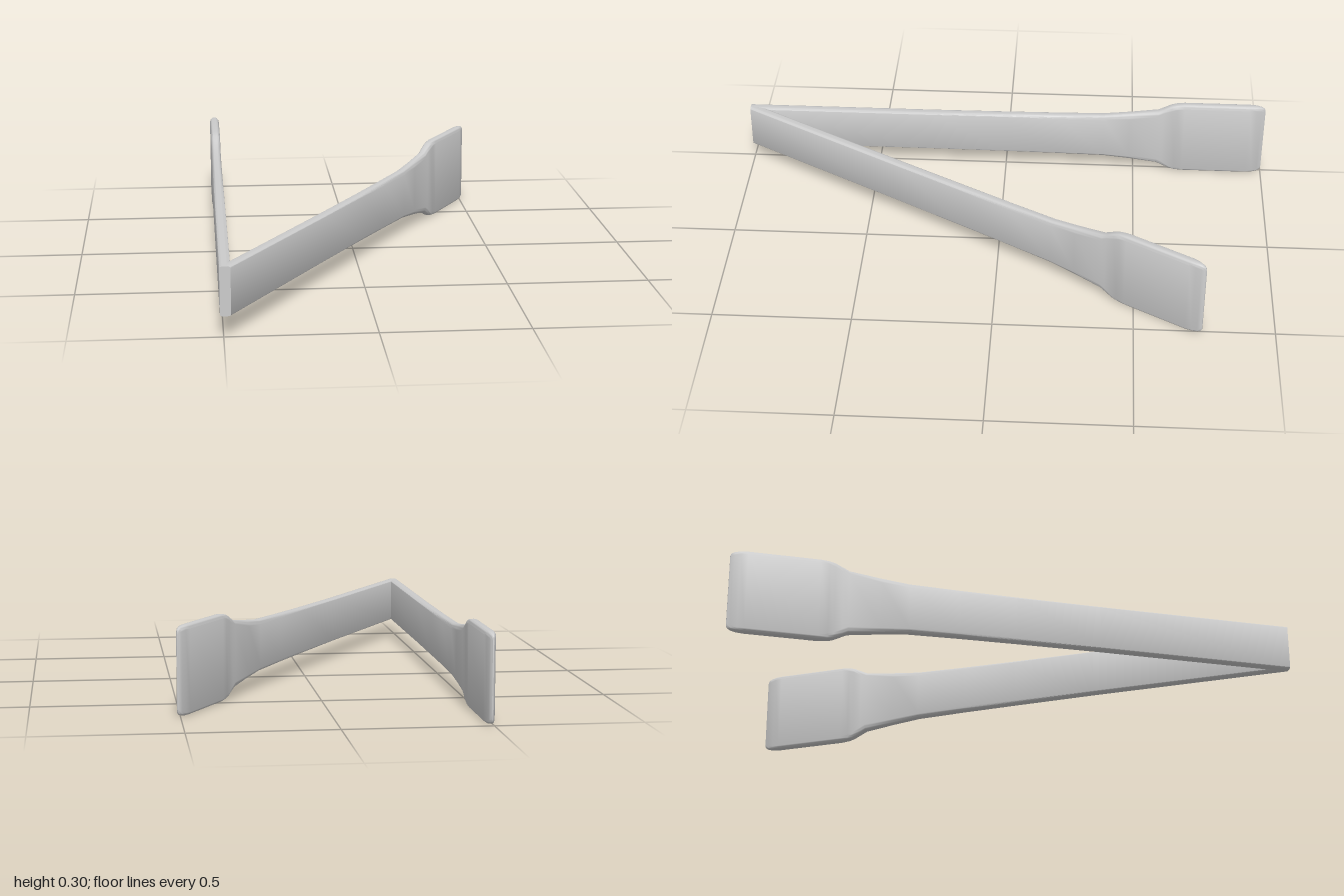
import * as THREE from 'three';
import { toCreasedNormals } from 'three/addons/utils/BufferGeometryUtils.js';

const MID_Y = 0.153, THICK = 0.036, OPENING = Math.PI / 6;

// Arm stations: distance from hinge, half height, half thickness, edge rounding height
const STATIONS = [
  [0, 0.083, 0.018, 0.005], [0.7, 0.083, 0.018, 0.005], [1.0, 0.086, 0.018, 0.008],
  [1.2, 0.089, 0.018, 0.012], [1.38, 0.093, 0.018, 0.016], [1.48, 0.104, 0.018, 0.02],
  [1.59, 0.119, 0.018, 0.02], [1.61, 0.129, 0.018, 0.02], [1.64, 0.144, 0.018, 0.018],
  [1.66, 0.149, 0.018, 0.016], [1.69, 0.152, 0.018, 0.014], [1.94, 0.152, 0.018, 0.014],
  [1.965, 0.151, 0.015, 0.014], [1.985, 0.147, 0.01, 0.014], [1.995, 0.142, 0.006, 0.014],
  [2.0, 0.134, 0.002, 0.014],
];

// Rounded rectangle, counter-clockwise, edges softened by rx across and ry up
function section(hw, hh, ry) {
  const rx = hw * 0.7, steps = 5, ring = [];
  for (let c = 0; c < 4; c++) {
    const sx = c === 0 || c === 3 ? 1 : -1, sy = c < 2 ? 1 : -1;
    for (let i = 0; i <= steps; i++) {
      const a = (c + i / steps) * Math.PI / 2;
      ring.push([sx * (hw - rx) + rx * Math.cos(a), sy * (hh - ry) + ry * Math.sin(a)]);
    }
  }
  return ring;
}

// Loft the sections from the hinge towards -z and close both ends
function armGeometry() {
  const pos = [], index = [];
  let n = 0;
  for (const [d, hh, hw, ry] of STATIONS) {
    const ring = section(hw, hh, ry);
    n = ring.length;
    for (const [x, y] of ring) pos.push(x - THICK / 2, y + MID_Y, -d);
  }
  const last = (STATIONS.length - 1) * n;
  const startCentre = pos.length / 3, endCentre = startCentre + 1;
  pos.push(-THICK / 2, MID_Y, 0, -THICK / 2, MID_Y, -2);
  for (let j = 0; j < n; j++) {
    const k = (j + 1) % n;
    for (let r = 0; r < last; r += n) {
      index.push(r + j, r + n + j, r + k, r + k, r + n + j, r + n + k);
    }
    index.push(startCentre, j, k, endCentre, last + k, last + j);
  }
  const geo = new THREE.BufferGeometry();
  geo.setAttribute('position', new THREE.Float32BufferAttribute(pos, 3));
  geo.setIndex(index);
  return toCreasedNormals(geo, 0.6);
}

export function createModel() {
  const model = new THREE.Group();
  model.name = 'tongs';
  const material = new THREE.MeshStandardMaterial({ color: 0xcccccc });
  const geo = armGeometry();

  // Two identical arms sharing the hinge corner, one swung open
  for (const [name, angle] of [['straightArm', 0], ['openArm', -OPENING]]) {
    const arm = new THREE.Mesh(geo, material);
    arm.name = name;
    arm.position.set(-0.475, 0, 1);
    arm.rotation.y = angle;
    model.add(arm);
  }
  return model;
}
